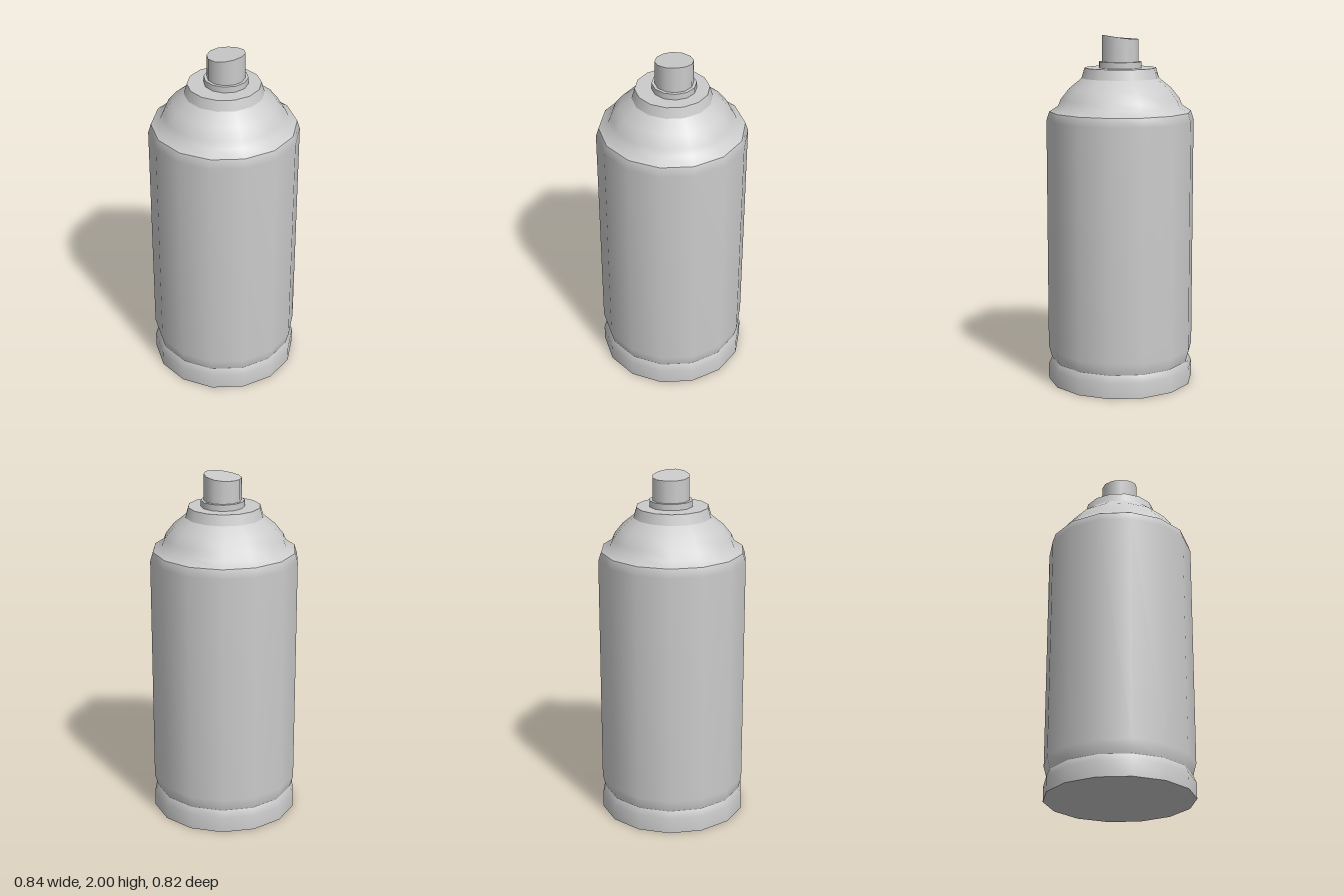
import * as THREE from 'three';

const material = new THREE.MeshStandardMaterial({ color: 0xcccccc });

// Smooth 14-sided ring band from [radius, height] pairs, bottom to top;
// separate bands keep the seams between them sharp.
function band(name, profile) {
  const points = profile.map(([r, y]) => new THREE.Vector2(r, y));
  const mesh = new THREE.Mesh(new THREE.LatheGeometry(points, 14, Math.PI / 2), material);
  mesh.name = name;
  return mesh;
}

// 12-sided cylinder standing on height y
function drum(name, rTop, rBottom, y, height) {
  const geometry = new THREE.CylinderGeometry(rTop, rBottom, height, 12);
  geometry.translate(0, y + height / 2, 0);
  const mesh = new THREE.Mesh(geometry, material);
  mesh.name = name;
  return mesh;
}

export function createModel() {
  const can = new THREE.Group();
  can.name = 'sprayCan';

  // Can body, from the underside up to the valve cup
  can.add(
    band('underside', [[0, 0], [0.42, 0]]),
    band('baseRim', [[0.42, 0], [0.42, 0.09], [0.402, 0.13]]),
    band('body', [[0.402, 0.13], [0.42, 0.2], [0.42, 1.52], [0.404, 1.57]]),
    band('shoulderDome', [[0.404, 1.57], [0.354, 1.602], [0.338, 1.64], [0.29, 1.7], [0.22, 1.757]]),
    band('valveCup', [[0.22, 1.757], [0.203, 1.815]]),
    band('valveCupTop', [[0.203, 1.815], [0, 1.815]]),
  );

  // Spray head, sitting slightly off centre
  const head = new THREE.Group();
  head.name = 'sprayHead';
  head.position.set(0.01, 0, 0.005);
  const nozzle = drum('nozzle', 0.105, 0.105, 1.85, 0.15);

  // Finger rest: the top dips in a shallow curve towards the back
  const pos = nozzle.geometry.attributes.position;
  for (let i = 0; i < pos.count; i++) {
    if (pos.getY(i) < 1.9) continue;
    const t = pos.getZ(i) / 0.105;
    pos.setY(i, 1.982 + 0.0125 * t + 0.0055 * t * t);
  }
  // Only the flat caps need new normals, the wall stays smooth
  const normal = nozzle.geometry.attributes.normal;
  const capNormal = new THREE.Vector3(0, 1, -0.12).normalize();
  for (let i = 0; i < normal.count; i++) {
    if (normal.getY(i) > 0.9) normal.setXYZ(i, capNormal.x, capNormal.y, capNormal.z);
  }

  head.add(drum('nozzleFlange', 0.122, 0.122, 1.815, 0.035), nozzle);
  can.add(head);
  return can;
}
